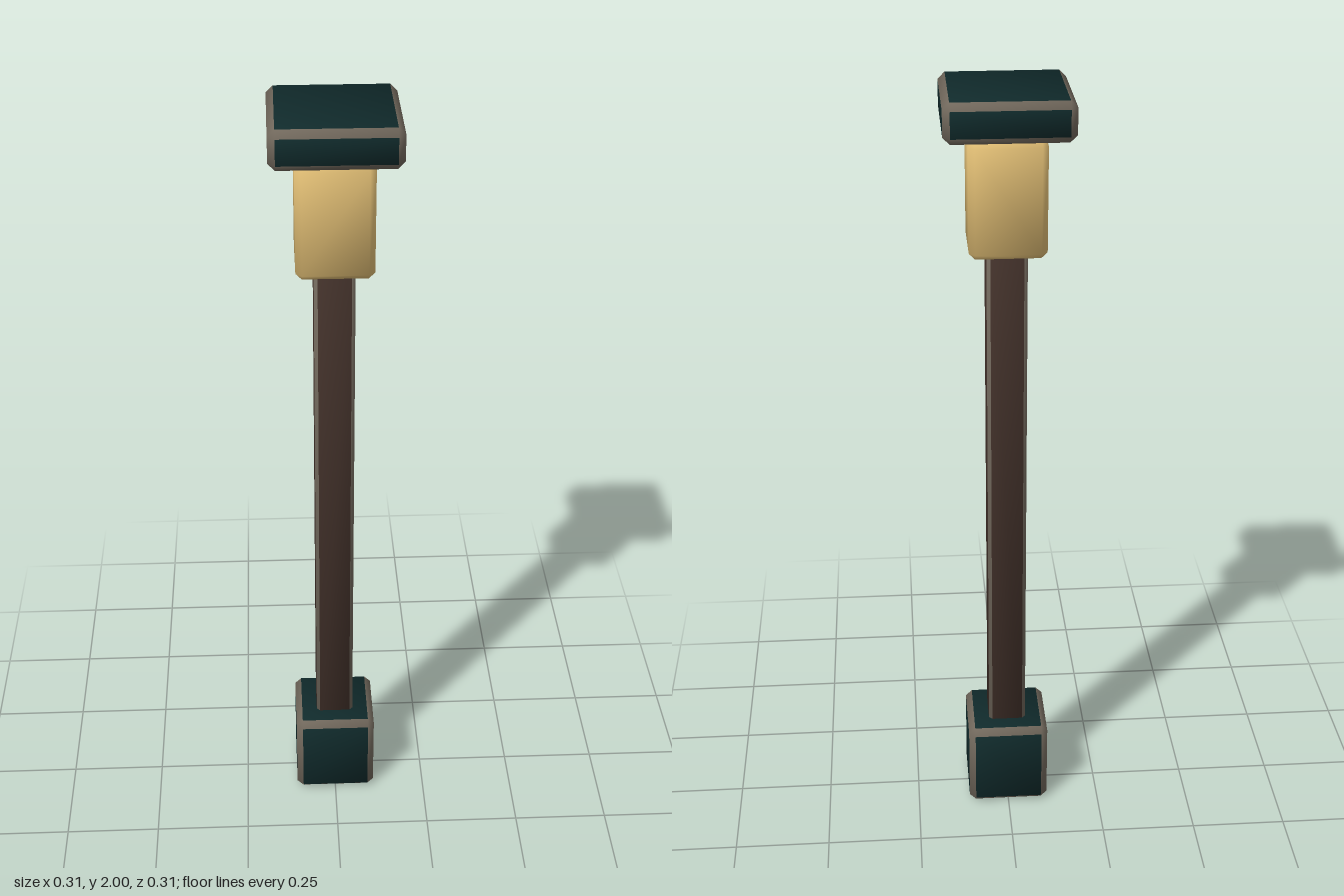
import * as THREE from 'three';

const mat = (name, color) => new THREE.MeshStandardMaterial({ name, color });

// Box with chamfered edges: group 0 = six faces, group 1 = edges and corners.
function chamferBox(width, height, bevel) {
  const half = [width / 2, height / 2, width / 2];
  const positions = [], normals = [];
  const corner = (axis, s) => ({
    p: new THREE.Vector3(...half.map((h, i) => s[i] * (i === axis ? h : h - bevel))),
    n: new THREE.Vector3(...s.map((v, i) => v * (i === axis ? 3 : 1.28))).normalize(),
  });
  // Adds a triangle, wound so that it faces away from the centre.
  const triangle = (a, b, c) => {
    const face = b.p.clone().sub(a.p).cross(c.p.clone().sub(a.p));
    const order = face.dot(a.p) > 0 ? [a, b, c] : [a, c, b];
    order.forEach(({ p, n }) => { positions.push(...p); normals.push(...n); });
  };
  const quad = (a, b, c, d) => { triangle(a, b, c); triangle(a, c, d); };
  const signs = (u, su, v, sv, w, sw) => {
    const s = [0, 0, 0];
    s[u] = su; s[v] = sv; s[w] = sw;
    return s;
  };

  // Faces
  for (let a = 0; a < 3; a++) {
    const u = (a + 1) % 3, v = (a + 2) % 3;
    for (const side of [-1, 1]) {
      quad(...[[-1, -1], [1, -1], [1, 1], [-1, 1]].map(([i, j]) => corner(a, signs(a, side, u, i, v, j))));
    }
  }
  const faceCount = positions.length / 3;

  // Edge strips
  for (let a = 0; a < 3; a++) {
    const u = (a + 1) % 3, v = (a + 2) % 3;
    for (const i of [-1, 1]) for (const j of [-1, 1]) {
      const low = signs(a, -1, u, i, v, j), high = signs(a, 1, u, i, v, j);
      quad(corner(u, low), corner(u, high), corner(v, high), corner(v, low));
    }
  }
  // Corner triangles
  for (const x of [-1, 1]) for (const y of [-1, 1]) for (const z of [-1, 1]) {
    triangle(...[0, 1, 2].map((axis) => corner(axis, [x, y, z])));
  }

  const geometry = new THREE.BufferGeometry();
  geometry.setAttribute('position', new THREE.Float32BufferAttribute(positions, 3));
  geometry.setAttribute('normal', new THREE.Float32BufferAttribute(normals, 3));
  geometry.addGroup(0, faceCount, 0);
  geometry.addGroup(faceCount, positions.length / 3 - faceCount, 1);
  return geometry;
}

export function createModel() {
  const darkTeal = mat('darkTeal', 0x102a2b);
  const trim = mat('greyTrim', 0x71685c);
  const wood = mat('darkWood', 0x42312a);
  const glow = mat('warmLamp', 0xe0bd74);

  const model = new THREE.Group();
  model.name = 'lampPost';
  const addPart = (name, width, bottom, top, bevel, face, edge) => {
    const mesh = new THREE.Mesh(chamferBox(width, top - bottom, bevel), [face, edge]);
    mesh.name = name;
    mesh.position.y = (bottom + top) / 2;
    model.add(mesh);
  };

  addPart('base', 0.216, 0, 0.243, 0.017, darkTeal, trim);
  addPart('post', 0.1, 0.1, 1.63, 0.009, wood, trim);
  addPart('lamp', 0.188, 1.605, 1.893, 0.015, glow, glow);
  addPart('cap', 0.308, 1.903, 2, 0.017, darkTeal, trim);
  return model;
}
